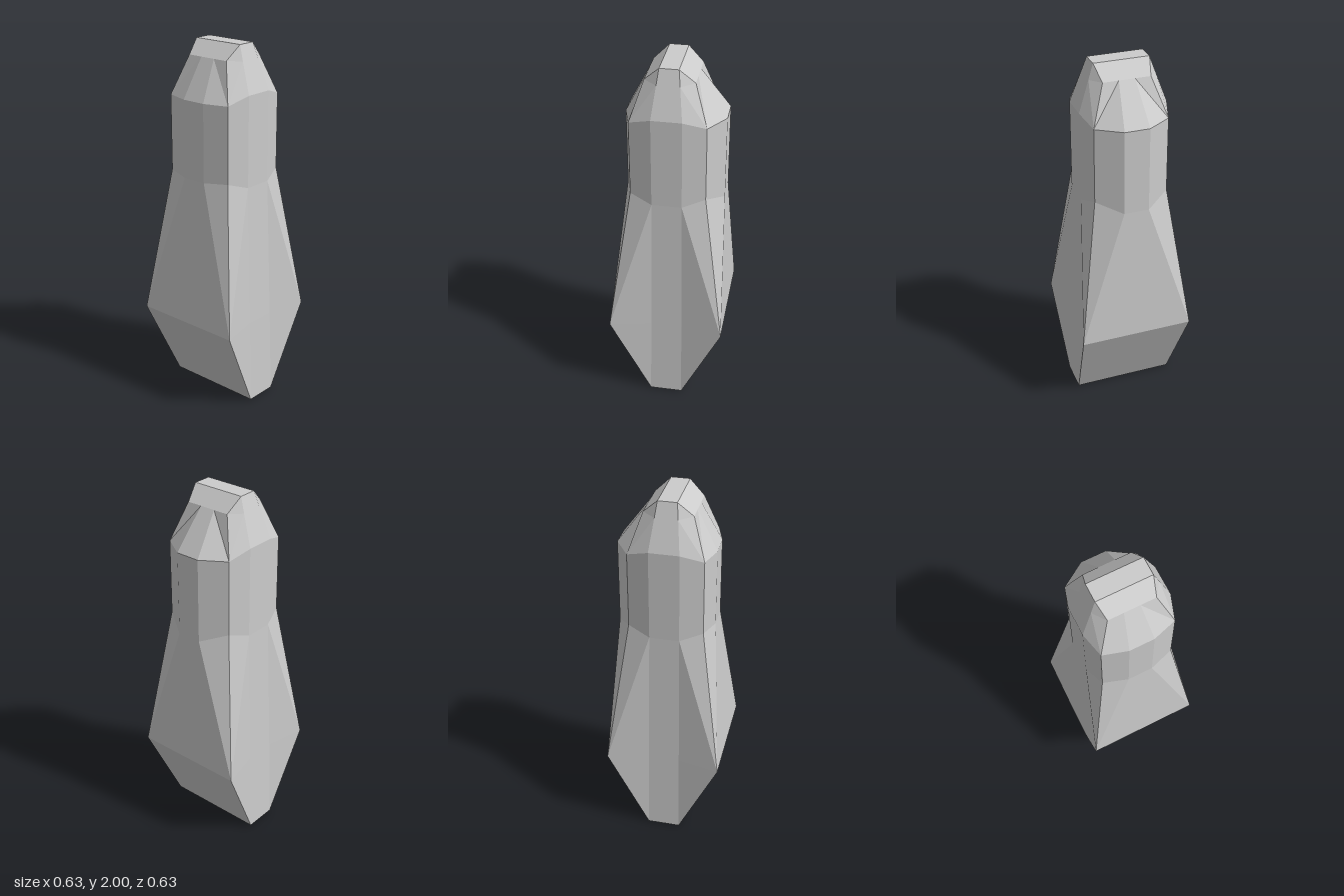
import * as THREE from 'three';

// Each level: corner, front, back and side points as [x, y, z]; mirrored in x (sides also in z)
const levels = [
  { corner: [0.28, 0, 0.09], front: [0.093, 0, 0.09], back: [0.093, 0, 0.09], side: [0.28, 0, 0.09] },
  { corner: [0.315, 0.48, 0.315], front: [0.105, 0.48, 0.315], back: [0.105, 0.48, 0.315], side: [0.265, 0.48, 0.086] },
  { corner: [0.2, 1.3, 0.2], front: [0.068, 1.29, 0.24], back: [0.068, 1.25, 0.285], side: [0.237, 1.26, 0.08] },
  { corner: [0.2, 1.715, 0.2], front: [0.068, 1.715, 0.24], back: [0.068, 1.715, 0.285], side: [0.237, 1.755, 0.08] },
  { corner: [0.128, 1.925, 0.13], front: [0.043, 1.925, 0.13], back: [0.043, 1.925, 0.13], side: [0.178, 1.92, 0.06] },
  { corner: [0.15, 2, 0.05], front: [0.05, 2, 0.05], back: [0.05, 2, 0.05], side: [0.15, 2, 0.05] },
];

// Twelve-point ring, counter-clockwise seen from above
function makeRing({ corner, front, back, side }) {
  const at = ([x, y, z], sx, sz) => new THREE.Vector3(x * sx, y, z * sz);
  return [
    at(front, -1, 1), at(front, 1, 1), at(corner, 1, 1),
    at(side, 1, 1), at(side, 1, -1), at(corner, 1, -1),
    at(back, 1, -1), at(back, -1, -1), at(corner, -1, -1),
    at(side, -1, -1), at(side, -1, 1), at(corner, -1, 1),
  ];
}

function loft(rings) {
  const positions = [];
  const triangle = (a, b, c) => {
    // Skip triangles collapsed where corner and side points meet
    if (new THREE.Triangle(a, b, c).getArea() < 1e-6) return;
    for (const p of [a, b, c]) positions.push(p.x, p.y, p.z);
  };

  // Walls, with diagonals running up from the corner points
  for (let level = 0; level < rings.length - 1; level++) {
    const low = rings[level], high = rings[level + 1];
    for (let i = 0; i < 12; i++) {
      const j = (i + 1) % 12;
      if (j % 3 === 2) {
        triangle(low[i], low[j], high[i]);
        triangle(low[j], high[j], high[i]);
      } else {
        triangle(low[i], low[j], high[j]);
        triangle(low[i], high[j], high[i]);
      }
    }
  }

  // Flat caps
  const bottom = rings[0], top = rings[rings.length - 1];
  for (let i = 1; i < 11; i++) {
    triangle(bottom[0], bottom[i + 1], bottom[i]);
    triangle(top[0], top[i], top[i + 1]);
  }

  const geometry = new THREE.BufferGeometry();
  geometry.setAttribute('position', new THREE.Float32BufferAttribute(positions, 3));
  geometry.computeVertexNormals();
  return geometry;
}

export function createModel() {
  const group = new THREE.Group();
  group.name = 'facetedPeg';
  const material = new THREE.MeshStandardMaterial({ color: 0xcccccc, flatShading: true });
  const body = new THREE.Mesh(loft(levels.map(makeRing)), material);
  body.name = 'body';
  group.add(body);
  return group;
}
